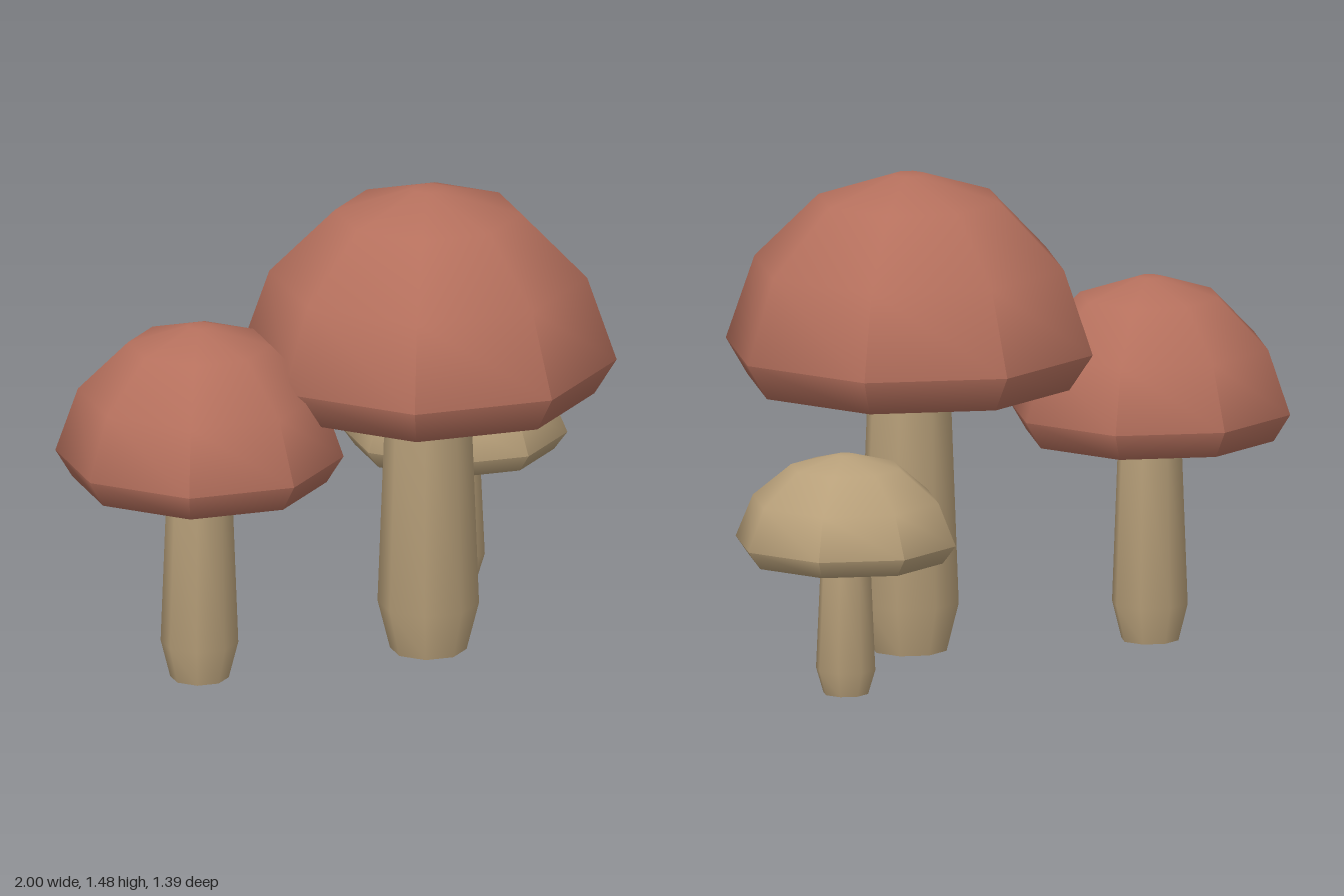
import * as THREE from 'three';
import { toCreasedNormals } from 'three/addons/utils/BufferGeometryUtils.js';

const SIDES = 8;

// Closed eight-sided turned shape from [radius, height] pairs, listed bottom to top
function turned(profile) {
  const points = profile.map(([r, y]) => new THREE.Vector2(r, y));
  return toCreasedNormals(new THREE.LatheGeometry(points, SIDES), Math.PI / 3);
}

export function createModel() {
  const red = new THREE.MeshStandardMaterial({ color: 0xb5705d });
  red.name = 'capRed';
  const tan = new THREE.MeshStandardMaterial({ color: 0xb8a07a });
  tan.name = 'mushroomTan';

  // Stem bulges just above the ground and tapers towards the cap
  const stemShape = turned([[0, 0], [0.117, 0], [0.155, 0.15], [0.13, 0.81], [0, 0.81]]);
  // Cap: shallow underside, tucked-in rim, dome with a small flat crown
  const capShape = turned([
    [0, 0.8], [0.13, 0.803], [0.507, 0.83], [0.575, 0.94],
    [0.485, 1.2], [0.285, 1.4], [0.05, 1.476], [0, 1.476],
  ]);

  const model = new THREE.Group();
  model.name = 'mushroomCluster';

  function addMushroom(name, capMaterial, x, z, width, height) {
    const mushroom = new THREE.Group();
    mushroom.name = name;
    const stem = new THREE.Mesh(stemShape, tan);
    stem.name = 'stem';
    const cap = new THREE.Mesh(capShape, capMaterial);
    cap.name = 'cap';
    mushroom.add(stem, cap);
    mushroom.position.set(x, 0, z);
    mushroom.scale.set(width, height, width);
    model.add(mushroom);
  }

  addMushroom('largeMushroom', red, 0.145, 0.115, 1, 1);
  addMushroom('mediumMushroom', red, -0.56, -0.135, 0.765, 0.763);
  addMushroom('smallMushroom', tan, 0.655, -0.352, 0.6, 0.502);

  return model;
}
